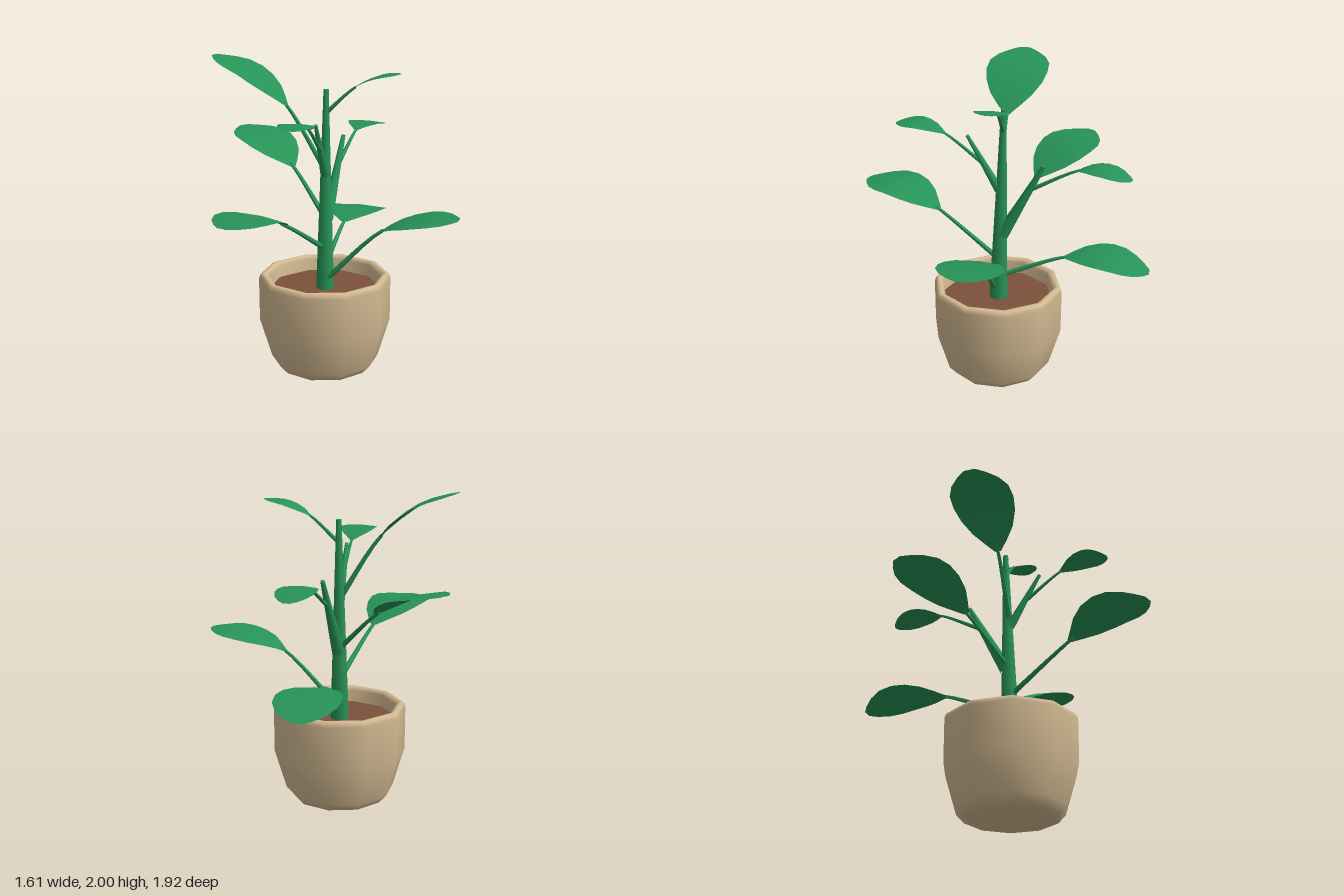
import * as THREE from 'three';
import { toCreasedNormals } from 'three/addons/utils/BufferGeometryUtils.js';

const green = new THREE.MeshStandardMaterial({ name: 'leaf green', color: 0x279357 });
const clay = new THREE.MeshStandardMaterial({ name: 'beige clay', color: 0xd3ba92 });
const earth = new THREE.MeshStandardMaterial({ name: 'brown soil', color: 0x7c503b });

const vec = (p) => new THREE.Vector3(...p);

// Skin a list of rows of points; closed rows wrap around like a tube
function skin(rows, closed = false) {
  const n = rows[0].length, index = [];
  for (let i = 0; i < rows.length - 1; i++) {
    for (let j = 0; j < (closed ? n : n - 1); j++) {
      const k = (j + 1) % n;
      const a = i * n + j, b = i * n + k, c = a + n, d = b + n;
      index.push(a, b, c, b, d, c);
    }
  }
  const geometry = new THREE.BufferGeometry().setFromPoints(rows.flat());
  geometry.setIndex(index);
  geometry.computeVertexNormals();
  return geometry;
}

// Point on a curve with its tangent, horizontal side and upward normal
function frame(curve, u) {
  const t = curve.getTangent(u);
  const side = new THREE.Vector3().crossVectors(t, new THREE.Vector3(0, 1, 0)).normalize();
  const up = new THREE.Vector3().crossVectors(side, t);
  const p = curve.getPoint(u);
  return (s, h) => p.clone().addScaledVector(side, s).addScaledVector(up, h);
}

// Tapered round stalk along part of a curve, closed at its end
function stalk(curve, uEnd, r0, r1, sides, steps) {
  const rows = [];
  for (let i = 0; i <= steps + 1; i++) {
    const f = Math.min(i / steps, 1);
    const at = frame(curve, f * uEnd);
    const r = i > steps ? 0 : r0 + (r1 - r0) * f;
    rows.push(Array.from({ length: sides }, (_, j) => {
      const a = (j / sides) * Math.PI * 2;
      return at(Math.sin(a) * r, Math.cos(a) * r);
    }));
  }
  return toCreasedNormals(skin(rows, true), 0.9);
}

function add(parent, name, geometry, material) {
  const mesh = new THREE.Mesh(geometry, material);
  mesh.name = name;
  parent.add(mesh);
  return mesh;
}

// Blade outline: [fraction of length, fraction of half width]
const OUTLINE = [[0, 0.1], [0.08, 0.36], [0.2, 0.68], [0.36, 0.91], [0.52, 1],
  [0.68, 0.97], [0.82, 0.77], [0.93, 0.46], [1, 0.17]];

// Leaf on a stalk; points are stalk root, blade base, blade middle and tip
function leaf(name, points, halfWidth) {
  const group = new THREE.Group();
  group.name = name;
  const curve = new THREE.CatmullRomCurve3(points.map(vec));
  curve.curveType = 'catmullrom';
  const k = halfWidth / 0.2;
  add(group, 'leafStalk', stalk(curve, 0.36, 0.008 + 0.01 * k, 0.004 + 0.006 * k, 6, 5), green);
  const top = [], bottom = [];
  for (const [f, w] of OUTLINE) {
    const at = frame(curve, 1 / 3 + f * (2 / 3));
    const s = w * halfWidth;
    const bulge = 0.012 * k * w;
    const left = at(-s, 0), right = at(s, 0);
    top.push([left, at(0, bulge), right]);
    bottom.push([right, at(0, -bulge * 0.4), left]);
  }
  add(group, 'bladeTop', skin(top), green);
  add(group, 'bladeUnderside', skin(bottom), green);
  return group;
}

export function createModel() {
  const model = new THREE.Group();
  model.name = 'pottedPlant';

  // Ten-sided pot with a rolled rim and an open inside
  const profile = [[0, 0], [0.24, 0], [0.295, 0.015], [0.345, 0.07], [0.42, 0.32],
    [0.421, 0.6], [0.412, 0.627], [0.395, 0.635], [0.375, 0.63], [0.362, 0.61], [0.355, 0.5]]
    .map(([r, y]) => new THREE.Vector2(r, y));
  add(model, 'pot', new THREE.LatheGeometry(profile, 10), clay).position.set(-0.065, 0, 0.02);

  // Soil surface inside the pot
  const soil = add(model, 'soil', new THREE.CylinderGeometry(0.358, 0.358, 0.02, 10), earth);
  soil.position.set(-0.065, 0.525, 0.02);

  // Main stem and two bare side shoots: root, end, root radius, end radius
  const shoots = [
    ['mainStem', [-0.065, 0.52, 0.015], [-0.065, 1.81, -0.018], 0.06, 0.017],
    ['backShoot', [-0.06, 0.98, -0.01], [-0.03, 1.475, -0.275], 0.042, 0.014],
    ['frontShoot', [-0.065, 1.28, 0.01], [-0.06, 1.63, 0.21], 0.03, 0.011],
  ];
  for (const [name, from, to, r0, r1] of shoots) {
    add(model, name, stalk(new THREE.LineCurve3(vec(from), vec(to)), 1, r0, r1, 8, 3), green);
  }

  // Leaves from the lowest to the highest
  const leaves = [
    ['lowBackLeaf', [[-0.065, 0.69, -0.01], [-0.065, 0.855, -0.41], [-0.06, 0.885, -0.69], [-0.06, 0.805, -0.95]], 0.2],
    ['lowLeftLeaf', [[-0.04, 0.61, 0.04], [0.3, 0.945, 0.045], [0.56, 1.045, 0.05], [0.8, 1.07, 0.06]], 0.2],
    ['lowFrontLeaf', [[-0.075, 0.81, 0.03], [-0.19, 1.06, 0.43], [-0.29, 1.175, 0.7], [-0.37, 1.17, 0.955]], 0.2],
    ['middleRightLeaf', [[-0.07, 1.0, 0], [-0.34, 1.27, -0.18], [-0.57, 1.415, -0.33], [-0.79, 1.46, -0.47]], 0.2],
    ['middleBackLeaf', [[-0.035, 1.31, -0.19], [-0.005, 1.47, -0.48], [0.015, 1.495, -0.65], [0.035, 1.45, -0.82]], 0.12],
    ['highFrontLeaf', [[-0.06, 1.46, 0.12], [-0.06, 1.63, 0.345], [-0.065, 1.69, 0.51], [-0.07, 1.68, 0.66]], 0.115],
    ['highRightLeaf', [[-0.07, 1.32, 0.01], [-0.31, 1.7, 0.01], [-0.55, 1.905, -0.005], [-0.8, 1.995, -0.015]], 0.2],
    ['highLeftLeaf', [[-0.06, 1.67, -0.015], [0.11, 1.825, -0.02], [0.26, 1.9, -0.02], [0.405, 1.925, -0.02]], 0.11],
  ];
  for (const [name, points, halfWidth] of leaves) model.add(leaf(name, points, halfWidth));

  return model;
}
